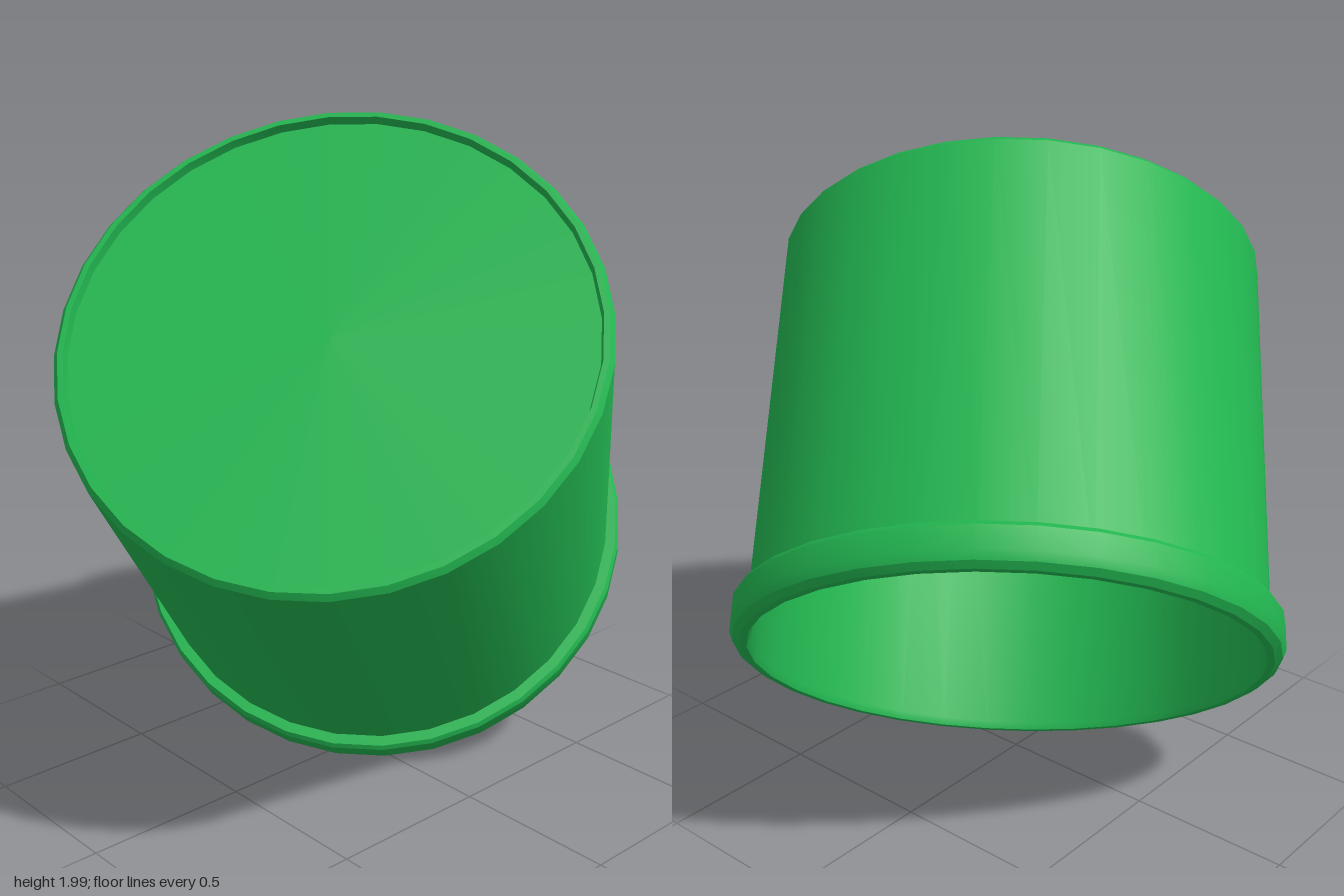
import * as THREE from 'three';
import { toCreasedNormals } from 'three/addons/utils/BufferGeometryUtils.js';

const SIDES = 32;

export function createModel() {
  const model = new THREE.Group();
  const material = new THREE.MeshStandardMaterial({ color: 0x22b550 });

  // The tub is turned about its own axis: y = 0 is the open end
  const tub = new THREE.Group();
  tub.name = 'tub';
  model.add(tub);

  const addLathe = (name, profile) => {
    const points = profile.map(([r, y]) => new THREE.Vector2(r, y));
    const geometry = toCreasedNormals(new THREE.LatheGeometry(points, SIDES), 0.5);
    const mesh = new THREE.Mesh(geometry, material);
    mesh.name = name;
    tub.add(mesh);
  };

  // Hollow wall with inner floor, foot ring and shallow recess under the base
  addLathe('shell', [
    [0, 1.24], [0.735, 1.24], [0.735, 0.02], [0.745, 0.0],
    [0.757, 0.0], [0.757, 1.28], [0.743, 1.297],
    [0.727, 1.297], [0.722, 1.27], [0, 1.27],
  ]);

  // Bevelled lip around the open end
  addLathe('rimLip', [
    [0.75, 0], [0.765, 0], [0.787, 0.015], [0.798, 0.04],
    [0.798, 0.105], [0.788, 0.118], [0.75, 0.118],
  ]);

  // Tip the tub over so the open end faces down, left and back
  const axis = new THREE.Vector3(-0.572, 0.69, 0.44).normalize();
  tub.quaternion.setFromUnitVectors(new THREE.Vector3(0, 1, 0), axis);
  tub.position.set(0.362, 0.555, -0.271);

  return model;
}
